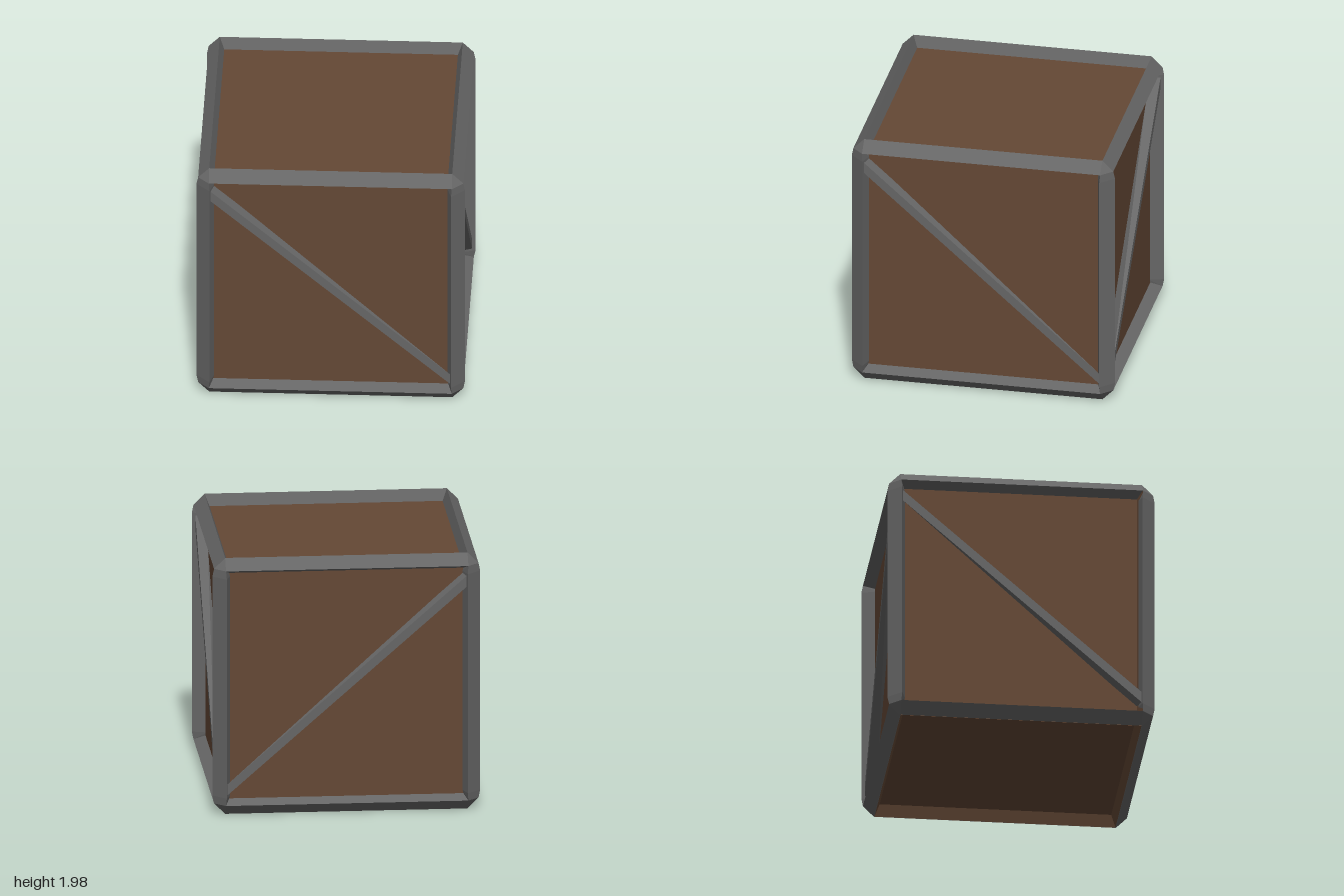
import * as THREE from 'three';
import { ConvexGeometry } from 'three/addons/geometries/ConvexGeometry.js';

const QUARTER = Math.PI / 2;
const HALF = 0.9875; // half height of the crate
const PANEL = 0.9; // depth of the wooden panels from the centre

const hull = (points) => new ConvexGeometry(points.map((p) => new THREE.Vector3(...p)));

// Upright edge beam: flat chamfer outside, two bevels running in to the panels
const beam = (outer, edge, halfLength) => hull([-halfLength, halfLength].flatMap((y) => [
  [edge, y, outer], [outer, y, edge], [0.866, y, 0.89], [0.89, y, 0.866],
]));

// Diagonal brace: flat face outside, ridge towards the panel, slightly twisted
const brace = (mirror) => hull([-1, 1].flatMap((end) => [
  [end * 0.9 * mirror, -end * 0.79 + 0.042, 0.975],
  [end * 0.9 * mirror, -end * 0.79 - 0.042, 0.975],
  [end * 0.9 * mirror, -end * 0.79 - end * 0.07, 0.89],
]));

// Thin wooden facing that covers one inner bevel
const facing = () => {
  const a = new THREE.Vector2(0.902, HALF);
  const b = new THREE.Vector2(0.867, PANEL);
  const across = b.clone().sub(a);
  return new THREE.PlaneGeometry(across.length(), 1.8)
    .rotateY(Math.atan2(-across.y, across.x))
    .translate((a.x + b.x) / 2, 0, (a.y + b.y) / 2);
};

export function createModel() {
  const crate = new THREE.Group();
  crate.name = 'crate';
  const metal = new THREE.MeshStandardMaterial({ color: 0x666666, flatShading: true });
  const wood = new THREE.MeshStandardMaterial({ color: 0x644835, flatShading: true, side: THREE.DoubleSide });

  const add = (name, geometry, material) => {
    const mesh = new THREE.Mesh(geometry, material);
    mesh.name = name;
    crate.add(mesh);
  };

  // Wooden core
  add('woodenPanels', new THREE.BoxGeometry(2 * PANEL, 2 * PANEL, 2 * PANEL), wood);

  // Twelve edge beams, the uprights slightly stouter
  for (let k = 0; k < 4; k++) {
    add('verticalBeam', beam(1, 0.9, 0.845).rotateY(k * QUARTER), metal);
    add('sideBeam', beam(HALF, 0.905, 0.905).rotateY(k * QUARTER).rotateX(QUARTER), metal);
    add('crossBeam', beam(HALF, 0.905, 0.905).rotateY(k * QUARTER).rotateZ(QUARTER), metal);
  }

  // Corner pieces joining three beams, tapering from the stouter uprights
  const corner = [
    [0.905, HALF, 0.905], [HALF, 0.905, 0.905], [0.905, 0.905, HALF],
    [0.9, 0.845, 1], [1, 0.845, 0.9], [0.866, 0.845, 0.89], [0.89, 0.845, 0.866],
  ];
  for (const x of [-1, 1]) for (const y of [-1, 1]) for (const z of [-1, 1]) {
    add('cornerPiece', hull(corner.map((p) => [p[0] * x, p[1] * y, p[2] * z])), metal);
  }

  // Wooden facings around the underside and along one upright
  for (let k = 0; k < 4; k++) {
    add('bottomFacing', facing().rotateZ(k * QUARTER).rotateX(QUARTER), wood);
  }
  add('uprightFacing', facing().rotateY(-QUARTER), wood);

  // One brace per side wall; the rear one leans the other way
  ['frontBrace', 'leftBrace', 'rearBrace', 'rightBrace'].forEach((name, k) => {
    add(name, brace(k === 2 ? -1 : 1).rotateY(k * QUARTER), metal);
  });

  // Stand the crate on the ground
  crate.position.y = HALF;
  const model = new THREE.Group();
  model.add(crate);
  return model;
}
